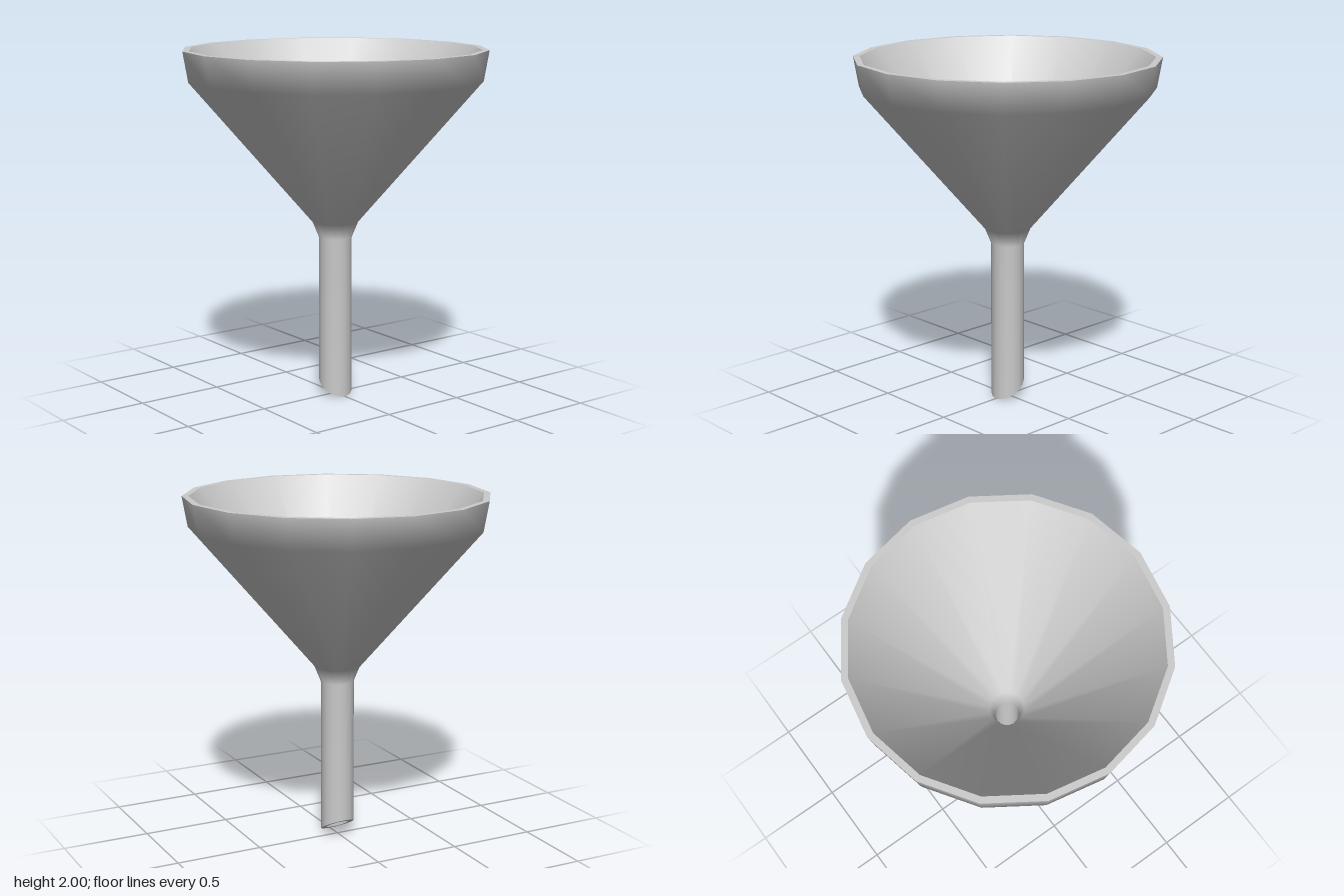
import * as THREE from 'three';

const SIDES = 16;

export function createModel() {
  const funnel = new THREE.Group();
  funnel.name = 'funnel';
  const material = new THREE.MeshStandardMaterial({ color: 0xcccccc });

  // Turned surface; points at y = 0 are moved onto the slanted cut of the spout
  function turned(name, profile) {
    const geometry = new THREE.LatheGeometry(profile.map(([r, y]) => new THREE.Vector2(r, y)), SIDES);
    const pos = geometry.attributes.position;
    for (let i = 0; i < pos.count; i++) {
      if (pos.getY(i) === 0) pos.setY(i, 0.055 - 0.58 * pos.getZ(i));
    }
    // Flat rings get their true plane normal
    if (profile.length === 2) geometry.computeVertexNormals();
    const mesh = new THREE.Mesh(geometry, material);
    mesh.name = name;
    funnel.add(mesh);
  }

  // Spout, neck, cone and collar, from the bottom up
  turned('outerWall', [[0.095, 0], [0.095, 0.93], [0.132, 1.02], [0.828, 1.83], [0.857, 2]]);
  // Flat top edge
  turned('rim', [[0.857, 2], [0.82, 2]]);
  // Straight inner cone and the bore, from the top down
  turned('innerWall', [[0.82, 2], [0.1, 1.03], [0.068, 0.94], [0.068, 0]]);
  // Slanted end of the spout
  turned('spoutTip', [[0.068, 0], [0.095, 0]]);

  return funnel;
}
